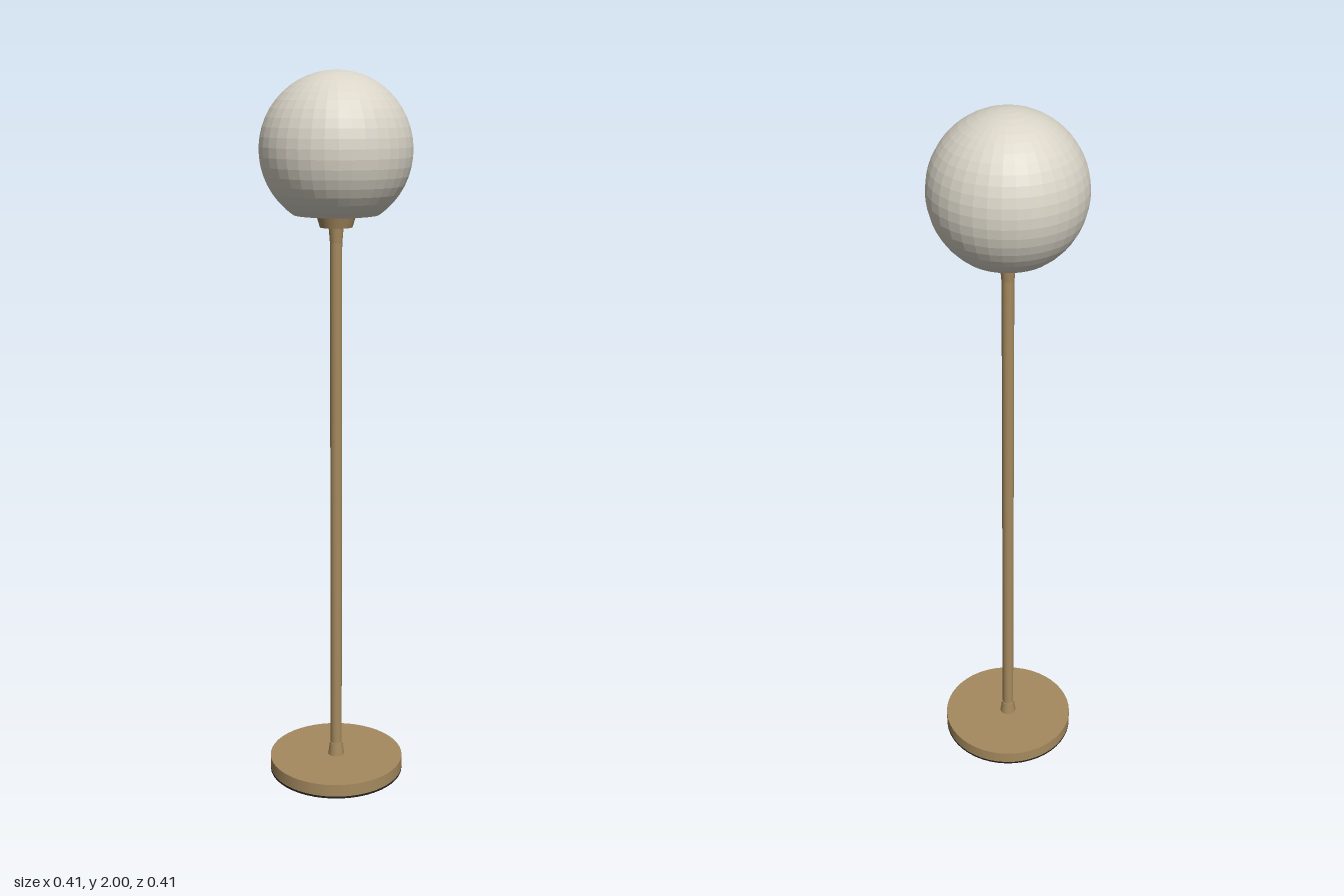
import * as THREE from 'three';

export function createModel() {
  const group = new THREE.Group();
  const brass = new THREE.MeshStandardMaterial({ color: 0xa58a5f });
  const opal = new THREE.MeshStandardMaterial({ color: 0xd9d4c7 });
  const felt = new THREE.MeshStandardMaterial({ color: 0x25221a });

  const add = (name, geometry, material, y = 0) => {
    const mesh = new THREE.Mesh(geometry, material);
    mesh.name = name;
    mesh.position.y = y;
    group.add(mesh);
  };
  const faceted = (geometry) => {
    const flat = geometry.toNonIndexed();
    flat.computeVertexNormals();
    return flat;
  };
  // upright cylinder or cone between two heights
  const turned = (name, rTop, rBottom, y0, y1, sides, material = brass) =>
    add(name, new THREE.CylinderGeometry(rTop, rBottom, y1 - y0, sides), material, (y0 + y1) / 2);

  // round foot with a dark pad underneath
  turned('basePad', 0.194, 0.194, 0, 0.006, 48, felt);
  turned('base', 0.194, 0.194, 0.006, 0.042, 48);

  // pole with its fittings
  turned('lowerCollar', 0.019, 0.024, 0.042, 0.08, 12);
  turned('pole', 0.0165, 0.0165, 0.04, 1.6, 16);
  turned('upperCollar', 0.021, 0.017, 1.55, 1.595, 12);

  // flared cup holding the globe
  turned('globeHolder', 0.056, 0.044, 1.592, 1.632, 24);

  // faceted globe, cut flat where it sits on the holder
  const radius = 0.205, centre = 1.795, rings = 20;
  const cut = Math.acos((centre - 1.626) / radius);
  const profile = [new THREE.Vector2(0, -radius * Math.cos(cut))];
  for (let i = 0; i <= rings; i++) {
    const a = cut + (Math.PI - cut) * i / rings;
    profile.push(new THREE.Vector2(Math.max(0, radius * Math.sin(a)), -radius * Math.cos(a)));
  }
  add('globe', faceted(new THREE.LatheGeometry(profile, 36)), opal, centre);

  return group;
}
